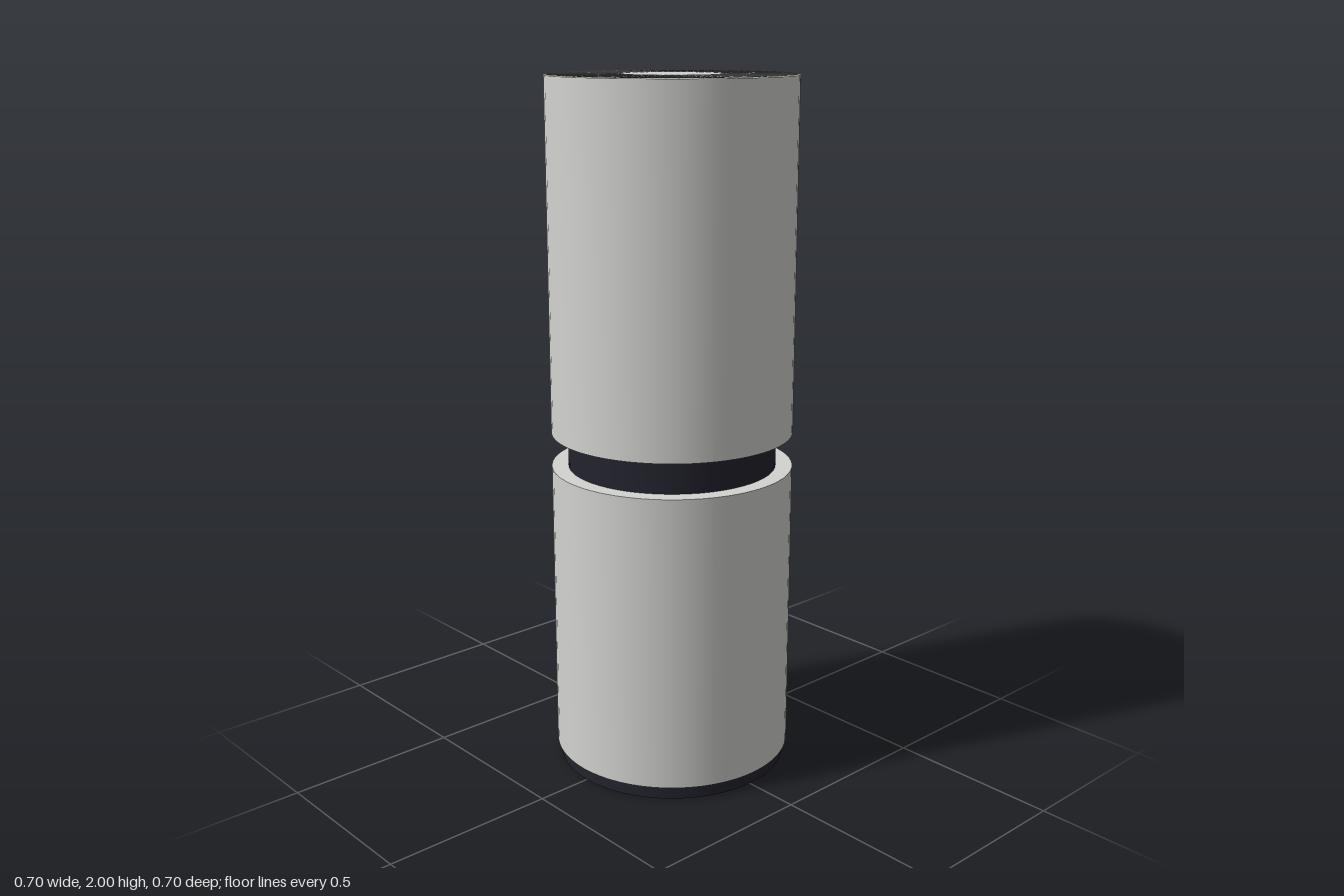
import * as THREE from 'three';

const SEGMENTS = 64;

export function createModel() {
  const shell = new THREE.MeshStandardMaterial({ color: 0xd3d3d0 });
  shell.name = 'light grey shell';
  const dark = new THREE.MeshStandardMaterial({ color: 0x23232e });
  dark.name = 'dark plastic';

  const model = new THREE.Group();
  model.name = 'cylinderDevice';

  // Upright cylinder between two heights
  function drum(name, radius, bottom, top, material) {
    const geometry = new THREE.CylinderGeometry(radius, radius, top - bottom, SEGMENTS);
    const mesh = new THREE.Mesh(geometry, material);
    mesh.name = name;
    mesh.position.y = (bottom + top) / 2;
    model.add(mesh);
  }

  drum('footPad', 0.336, 0, 0.04, dark);
  drum('lowerBody', 0.348, 0.04, 0.9, shell);
  drum('neck', 0.3, 0.9, 1.0, dark);
  drum('upperBody', 0.348, 1.0, 1.997, shell);
  drum('topButton', 0.139, 1.997, 2.0, shell);

  // Dark grille plate around the button
  const grille = new THREE.Mesh(new THREE.RingGeometry(0.142, 0.342, SEGMENTS), dark);
  grille.name = 'topGrille';
  grille.rotation.x = -Math.PI / 2;
  grille.position.y = 1.9985;
  model.add(grille);

  // Hairline radial ribs across the grille
  const ribs = new THREE.Group();
  ribs.name = 'grilleRibs';
  const ribGeometry = new THREE.BoxGeometry(0.2, 0.002, 0.0012);
  ribGeometry.translate(0.242, 1.999, 0);
  for (let i = 0; i < SEGMENTS; i++) {
    const rib = new THREE.Mesh(ribGeometry, shell);
    rib.name = 'grilleRib';
    rib.rotation.y = (i / SEGMENTS) * Math.PI * 2;
    ribs.add(rib);
  }
  model.add(ribs);

  return model;
}
